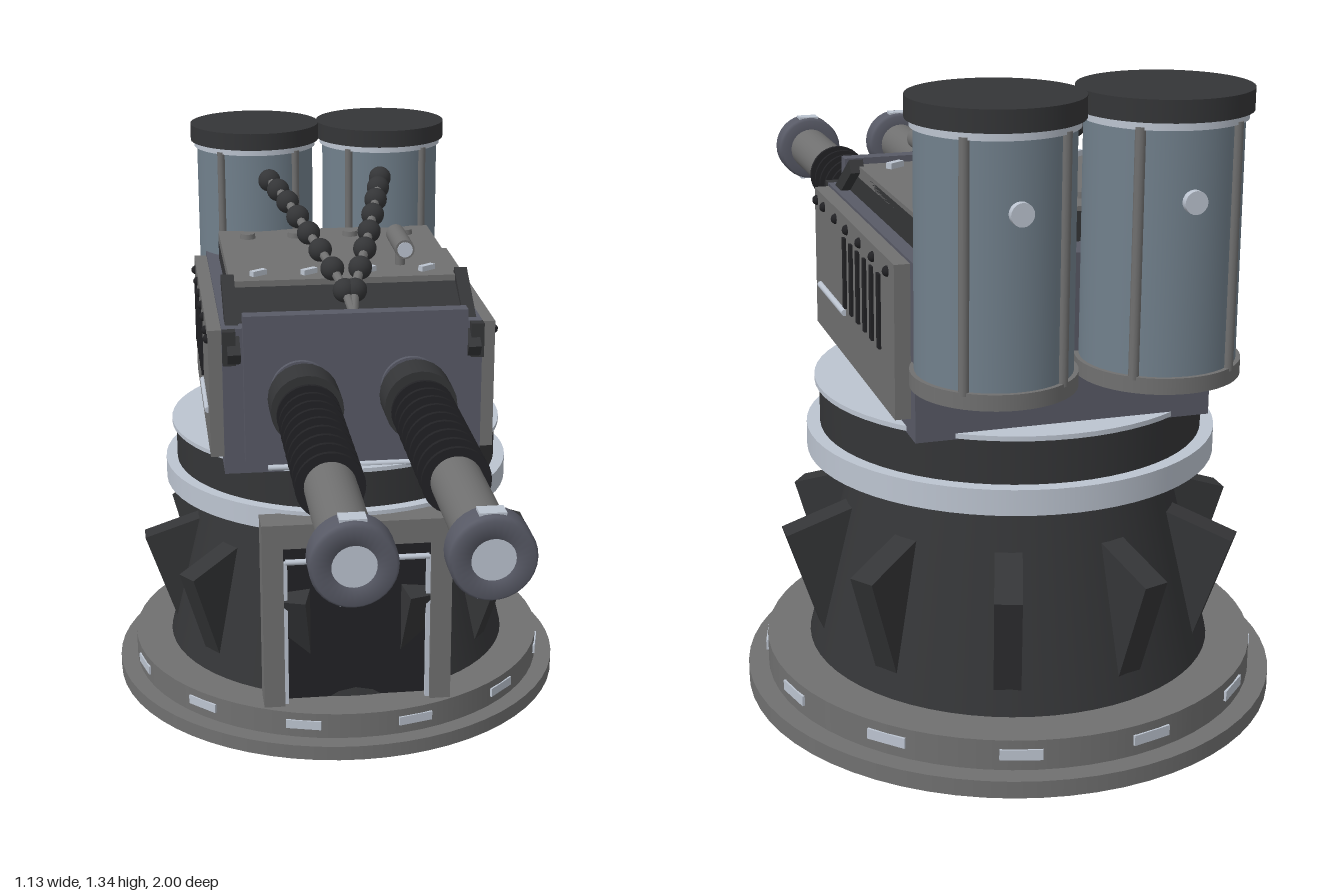
import * as THREE from 'three';

const mat = (color) => new THREE.MeshStandardMaterial({ color });
const M = {
  dark: mat(0x343537), black: mat(0x222225), grey: mat(0x707070),
  blue: mat(0x585a66), tank: mat(0x71808c), silver: mat(0xbcc4d0),
};
const CZ = -0.435; // turntable axis

function add(parent, name, geo, material, x = 0, y = 0, z = 0) {
  const m = new THREE.Mesh(geo, material);
  m.name = name;
  m.position.set(x, y, z);
  parent.add(m);
  return m;
}
const box = (w, h, d) => new THREE.BoxGeometry(w, h, d);
// Upright cylinder between two heights
const drum = (parent, name, material, r0, r1, y0, y1, x = 0, z = CZ, n = 64) =>
  add(parent, name, new THREE.CylinderGeometry(r1, r0, y1 - y0, n), material, x, (y0 + y1) / 2, z);
// Cylinder along z
function rod(parent, name, material, r, z0, z1, x, y, n = 32) {
  const m = add(parent, name, new THREE.CylinderGeometry(r, r, z1 - z0, n), material, x, y, (z0 + z1) / 2);
  m.rotation.x = Math.PI / 2;
  return m;
}
function subgroup(parent, name) {
  const g = new THREE.Group();
  g.name = name;
  parent.add(g);
  return g;
}

function buildBase(root) {
  const g = subgroup(root, 'base');
  drum(g, 'footPlate', M.grey, 0.565, 0.565, 0, 0.036);
  drum(g, 'footStep', M.grey, 0.522, 0.522, 0.036, 0.1);
  drum(g, 'pedestalCone', M.dark, 0.43, 0.325, 0.1, 0.53);
  drum(g, 'silverRing', M.silver, 0.428, 0.428, 0.527, 0.58);
  drum(g, 'turntable', M.dark, 0.4, 0.4, 0.58, 0.672);
  drum(g, 'turntableTop', M.silver, 0.41, 0.41, 0.672, 0.682);
  add(g, 'undersideSlot', box(0.3, 0.004, 0.035), M.black, 0, 0, 0.02);

  // Lights set in the foot rim
  for (let i = 0; i < 12; i++) {
    const a = (i + 0.5) * Math.PI / 6;
    const m = add(g, 'rimLight', box(0.085, 0.022, 0.014), M.silver,
      Math.sin(a) * 0.518, 0.07, CZ + Math.cos(a) * 0.518);
    m.rotation.y = a;
  }
  // Ten leaning buttress fins
  for (let i = 0; i < 10; i++) {
    const arm = subgroup(g, 'buttress');
    arm.position.z = CZ;
    arm.rotation.y = i * Math.PI / 5;
    add(arm, 'fin', box(0.17, 0.235, 0.055), M.dark, 0.372, 0.287, 0).rotation.z = -0.325;
  }

  // Doorway
  const d = subgroup(g, 'doorway');
  for (const s of [-1, 1]) {
    add(d, 'doorPost', box(0.05, 0.47, 0.075), M.grey, s * 0.2, 0.335, -0.008);
    add(d, 'doorTrim', box(0.01, 0.37, 0.012), M.silver, s * 0.17, 0.285, 0.012);
  }
  add(d, 'doorLintel', box(0.35, 0.06, 0.075), M.grey, 0, 0.54, -0.008);
  add(d, 'doorHeader', box(0.35, 0.035, 0.05), M.black, 0, 0.4925, -0.008);
  add(d, 'doorPanel', box(0.35, 0.38, 0.03), M.black, 0, 0.29, -0.025);
  add(d, 'doorRod', new THREE.CylinderGeometry(0.007, 0.007, 0.34, 12), M.silver, 0, 0.475, 0.026).rotation.z = Math.PI / 2;
}

function buildHousing(root) {
  const g = subgroup(root, 'housing');
  add(g, 'housingBody', box(0.6, 0.35, 0.72), M.blue, 0, 0.845, -0.42);
  add(g, 'frontShield', box(0.51, 0.345, 0.034), M.blue, 0, 0.8925, -0.017);
  add(g, 'shieldMount', box(0.46, 0.28, 0.04), M.dark, 0, 0.86, -0.05);
  add(g, 'shieldRod', new THREE.CylinderGeometry(0.007, 0.007, 0.4, 12), M.silver, 0, 0.684, -0.05).rotation.z = Math.PI / 2;

  // Hood with sloped nose; shape drawn as (depth behind front, height)
  const s = new THREE.Shape();
  [[0.06, 1.0], [0.08, 1.01], [0.22, 1.08], [0.7, 1.08], [0.7, 1.0]]
    .forEach(([x, y], i) => (i ? s.lineTo(x, y) : s.moveTo(x, y)));
  const hood = new THREE.ExtrudeGeometry(s, { depth: 0.54, bevelEnabled: false });
  hood.translate(0, 0, -0.27).rotateY(Math.PI / 2);
  add(g, 'hood', hood, M.dark);
  add(g, 'roofPanel', box(0.54, 0.025, 0.49), M.grey, 0, 1.077, -0.455);
  add(g, 'noseBar', box(0.5, 0.02, 0.02), M.grey, 0, 1.02, -0.07);
  for (const x of [-0.2, -0.08, 0.06, 0.2]) {
    add(g, 'roofCatch', box(0.04, 0.014, 0.015), M.silver, x, 1.095, -0.26).rotation.y = 0.6;
    drum(g, 'roofBolt', M.grey, 0.02, 0.018, 1.088, 1.102, x, -0.62, 16);
  }

  for (const side of [-1, 1]) {
    add(g, 'noseRail', box(0.03, 0.03, 0.25), M.dark, side * 0.275, 1.025, -0.125).rotation.x = 0.55;
    add(g, 'noseBracket', box(0.03, 0.08, 0.04), M.dark, side * 0.285, 0.98, -0.055);
    const p = subgroup(g, 'sidePanel');
    add(p, 'panelPlate', box(0.035, 0.305, 0.68), M.grey, side * 0.314, 0.862, -0.41);
    for (let i = 0; i < 6; i++)
      add(p, 'vent', box(0.012, 0.15, 0.017), M.black, side * 0.331, 0.895, -0.355 - i * 0.057);
    for (const z of [-0.09, -0.16, -0.27, -0.37, -0.48, -0.59, -0.7])
      add(p, 'panelBolt', new THREE.SphereGeometry(0.011, 12, 8), M.black, side * 0.331, 0.99, z);
    rod(p, 'panelRod', M.silver, 0.007, -0.35, -0.12, side * 0.334, 0.808, 12);
  }

  // Small sight on the roof
  rod(g, 'sightTube', M.grey, 0.023, -0.4, -0.24, 0.145, 1.145, 24);
  rod(g, 'sightLens', M.silver, 0.018, -0.245, -0.237, 0.145, 1.145, 24);
  drum(g, 'sightPost', M.grey, 0.012, 0.012, 1.08, 1.13, 0.145, -0.32, 16);
}

function buildBarrel(root, x) {
  const g = subgroup(root, 'barrel');
  const y = 0.89;
  rod(g, 'barrelTube', M.grey, 0.053, -0.02, 0.95, x, y);
  rod(g, 'barrelCollar', M.dark, 0.081, 0.06, 0.15, x, y, 24);
  for (let i = 0; i < 9; i++) {
    const z = 0.182 + i * 0.0525;
    rod(g, 'coolingRing', M.black, 0.071, z - 0.005, z + 0.005, x, y);
  }
  // Hollow muzzle with chamfered rims
  const pts = [[0.053, 0.93], [0.076, 0.93], [0.082, 0.938], [0.082, 0.992], [0.076, 1.0], [0.042, 1.0], [0.042, 0.985]]
    .map(([r, h]) => new THREE.Vector2(r, h));
  const muzzle = new THREE.LatheGeometry(pts, 32);
  add(g, 'muzzle', muzzle, new THREE.MeshStandardMaterial({ color: 0x585a66, side: THREE.DoubleSide }), x, y, 0).rotation.x = Math.PI / 2;
  rod(g, 'muzzleLens', M.silver, 0.043, 0.94, 0.994, x, y);
  for (const s of [-1, 1]) add(g, 'muzzlePort', box(0.05, 0.01, 0.035), M.silver, x, y + s * 0.079, 0.962);
}

function buildTank(root, side) {
  const g = subgroup(root, 'tank');
  const x = side * 0.163, z = -0.835;
  drum(g, 'tankBody', M.tank, 0.149, 0.149, 0.82, 1.3, x, z, 48);
  drum(g, 'tankFoot', M.grey, 0.158, 0.158, 0.795, 0.826, x, z, 48);
  drum(g, 'tankCollar', M.silver, 0.156, 0.156, 1.285, 1.3, x, z, 48);
  drum(g, 'tankCap', M.dark, 0.165, 0.165, 1.3, 1.342, x, z, 48);
  for (const sx of [-1, 1]) for (const sz of [-1, 1])
    drum(g, 'tankRib', M.grey, 0.01, 0.01, 0.82, 1.29, x + sx * 0.094, z + sz * 0.118, 10);
  rod(g, 'tankValve', M.silver, 0.022, z - 0.162, z - 0.14, x, 1.155, 20);
}

function buildHose(root, side) {
  const g = subgroup(root, 'beadedHose');
  const path = new THREE.CatmullRomCurve3([
    [0.0, 1.05, -0.05], [0.012, 1.085, -0.12], [0.035, 1.122, -0.2], [0.075, 1.17, -0.35],
    [0.11, 1.21, -0.5], [0.14, 1.228, -0.65], [0.15, 1.228, -0.71],
  ].map(([x, y, z]) => new THREE.Vector3(side * x, y, z)));
  add(g, 'hoseCore', new THREE.TubeGeometry(path, 40, 0.011, 8), M.grey);
  for (let i = 0; i < 8; i++) {
    const p = path.getPointAt(0.112 + i * 0.115);
    add(g, 'hoseBead', new THREE.SphereGeometry(0.028, 18, 12), M.dark, p.x, p.y, p.z);
  }
}

export function createModel() {
  const root = new THREE.Group();
  root.name = 'twinBarrelTurret';
  buildBase(root);
  buildHousing(root);
  for (const side of [-1, 1]) {
    buildBarrel(root, side * 0.126);
    buildTank(root, side);
    buildHose(root, side);
  }
  // Flanges where the barrels leave the shield
  for (const side of [-1, 1]) rod(root, 'barrelFlange', M.blue, 0.07, 0, 0.012, side * 0.126, 0.89);
  return root;
}
